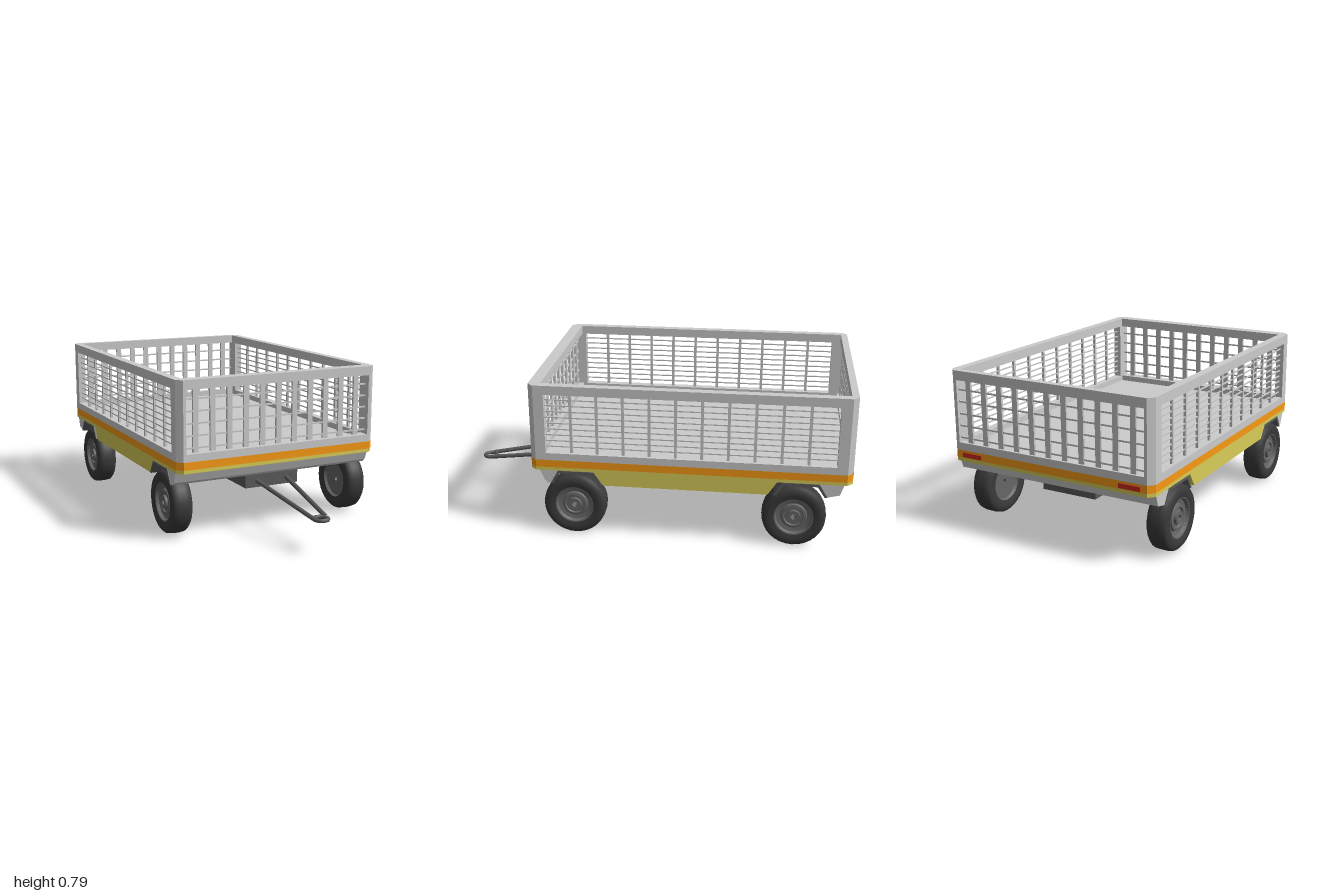
import * as THREE from 'three';

const mat = (color, extra = {}) => new THREE.MeshStandardMaterial({ color, ...extra });

export function createModel() {
  const model = new THREE.Group();
  const grey = mat(0xcccccc), orange = mat(0xf89a14), yellow = mat(0xd9cd58);
  const dark = mat(0x5a5a5a), tyreMat = mat(0x3a3a3a), red = mat(0xd02a20);

  const add = (name, geometry, material, parent = model) => {
    const mesh = new THREE.Mesh(geometry, material);
    mesh.name = name;
    parent.add(mesh);
    return mesh;
  };
  const box = (name, w, h, d, x, y, z, material, parent) => {
    const mesh = add(name, new THREE.BoxGeometry(w, h, d), material, parent);
    mesh.position.set(x, y, z);
    return mesh;
  };
  // Plan outline of [x, z] points raised from y0 to y1
  const planShape = (pts) => new THREE.Shape(pts.map(([x, z]) => new THREE.Vector2(x, -z)));
  const raise = (shape, y0, y1) =>
    new THREE.ExtrudeGeometry(shape, { depth: y1 - y0, bevelEnabled: false })
      .rotateX(-Math.PI / 2).translate(0, y0, 0);
  // Side profile of [z, y] points swept from x0 to x1
  const sweep = (pts, x0, x1) =>
    new THREE.ExtrudeGeometry(new THREE.Shape(pts.map(([z, y]) => new THREE.Vector2(-z, y))),
      { depth: x1 - x0, bevelEnabled: false }).rotateY(Math.PI / 2).translate(x0, 0, 0);

  // Body outline with cut corners
  const X = 0.545, ZF = 0.58, ZB = -1, C = 0.028;
  const outline = [
    [X, ZF - C], [X - C, ZF], [C - X, ZF], [-X, ZF - C],
    [-X, ZB + C], [C - X, ZB], [X - C, ZB], [X, ZB + C],
  ];
  const ring = planShape(outline);
  ring.holes.push(planShape([[0.503, 0.52], [0.503, -0.966], [-0.503, -0.966], [-0.503, 0.52]]));

  // Deck and coloured bands
  add('yellowBand', raise(planShape(outline), 0.345, 0.362), yellow);
  add('orangeBand', raise(planShape(outline), 0.362, 0.4), orange);
  box('floor', 1.006, 0.01, 1.486, 0, 0.402, -0.223, grey);

  // Cage rails and corner posts
  add('lowerRail', raise(ring, 0.4, 0.437), grey);
  add('topRail', raise(ring, 0.742, 0.788), grey);
  for (const s of [1, -1]) {
    add('frontPost', raise(planShape([[s * 0.503, 0.5], [s * X, 0.5], [s * X, ZF - C],
      [s * (X - C), ZF], [s * 0.503, ZF]]), 0.437, 0.742), grey);
    add('rearPost', raise(planShape([[s * 0.503, -0.92], [s * X, -0.92], [s * X, ZB + C],
      [s * (X - C), ZB], [s * 0.503, ZB]]), 0.437, 0.742), grey);
  }

  // End grilles
  for (const [name, z] of [['frontGrille', 0.55], ['rearGrille', -0.983]]) {
    const grille = new THREE.Group();
    grille.name = name;
    for (let i = -5; i <= 5; i++) box('upright', 0.028, 0.306, 0.012, i * 0.0887, 0.59, z, grey, grille);
    for (let i = 0; i < 5; i++) box('crossBar', 1.01, 0.008, 0.008, 0, 0.459 + i * 0.0588, z, grey, grille);
    model.add(grille);
  }
  // Side grilles
  for (const s of [1, -1]) {
    const grille = new THREE.Group();
    grille.name = s > 0 ? 'leftGrille' : 'rightGrille';
    for (let i = 0; i < 10; i++) box('upright', 0.012, 0.306, 0.014, s * 0.524, 0.59, 0.373 - i * 0.1287, grey, grille);
    for (let i = 1; i < 10; i++) box('crossBar', 0.007, 0.006, 1.42, s * 0.524, 0.437 + i * 0.0305, -0.21, grey, grille);
    model.add(grille);
  }

  // Underbody, chassis beam and end valances
  box('underbody', 0.84, 0.068, 1.34, 0, 0.312, -0.19, dark);
  box('chassisBeam', 0.294, 0.068, 1.32, 0, 0.243, -0.17, dark);
  add('frontValance', sweep([[0.535, 0.346], [0.51, 0.288], [0.495, 0.275], [0.475, 0.275], [0.435, 0.346]], -0.54, 0.54), grey);
  add('rearValance', sweep([[-0.96, 0.346], [-0.942, 0.29], [-0.88, 0.275], [-0.84, 0.346]], -0.54, 0.54), grey);

  // Skirts and wheel arches
  for (const s of [1, -1]) {
    const span = (a, b) => (s > 0 ? [a, b] : [-b, -a]);
    add('skirt', sweep([[0.265, 0.346], [0.215, 0.275], [-0.595, 0.275], [-0.64, 0.346]], ...span(0.42, 0.543)), yellow);
    for (const z of [0.353, -0.752]) {
      add('wheelArch', sweep([
        [z + 0.128, 0.275], [z + 0.09, 0.343], [z - 0.09, 0.343], [z - 0.132, 0.275],
        [z - 0.118, 0.275], [z - 0.082, 0.33], [z + 0.082, 0.33], [z + 0.114, 0.275],
      ], ...span(0.41, 0.545)), dark);
    }
  }

  // Tail lights
  for (const s of [1, -1]) box('tailLight', 0.11, 0.022, 0.008, s * 0.43, 0.378, -1, red);

  // Wheels: tyre and stepped rim turned about the axle, open at the hub
  const lathe = (pts) => new THREE.LatheGeometry(pts.map(([r, h]) => new THREE.Vector2(r, h)), 32).rotateZ(-Math.PI / 2);
  const tyreGeo = lathe([[0.095, -0.046], [0.12, -0.053], [0.143, -0.05], [0.155, -0.038], [0.158, -0.015],
    [0.158, 0.015], [0.155, 0.038], [0.143, 0.05], [0.12, 0.053], [0.095, 0.046]]);
  const rimGeo = lathe([[0.012, -0.03], [0.09, -0.03], [0.1, -0.047], [0.1, 0.047], [0.092, 0.046], [0.086, 0.03],
    [0.066, 0.026], [0.062, 0.036], [0.05, 0.038], [0.046, 0.03], [0.034, 0.03], [0.032, 0.044],
    [0.014, 0.044], [0.012, 0.038], [0.012, -0.03]]);
  const rimMat = mat(0x666666, { flatShading: true });
  for (const s of [1, -1]) for (const z of [0.365, -0.727]) {
    const wheel = new THREE.Group();
    wheel.name = (z > 0 ? 'front' : 'rear') + (s > 0 ? 'Left' : 'Right') + 'Wheel';
    add('tyre', tyreGeo, tyreMat, wheel);
    add('rim', rimGeo, rimMat, wheel);
    wheel.position.set(s * 0.492, 0.158, z);
    if (s < 0) wheel.rotation.y = Math.PI;
    model.add(wheel);
  }

  // Drawbar arms and towing eye
  for (const s of [1, -1]) {
    const arm = new THREE.LineCurve3(new THREE.Vector3(s * 0.085, 0.245, 0.47), new THREE.Vector3(s * 0.034, 0.167, 0.95));
    add('drawbarArm', new THREE.TubeGeometry(arm, 1, 0.011, 10), dark);
  }
  const eye = add('towingEye', new THREE.TorusGeometry(0.033, 0.01, 8, 24).rotateX(Math.PI / 2), dark);
  eye.position.set(0, 0.165, 0.957);

  return model;
}
